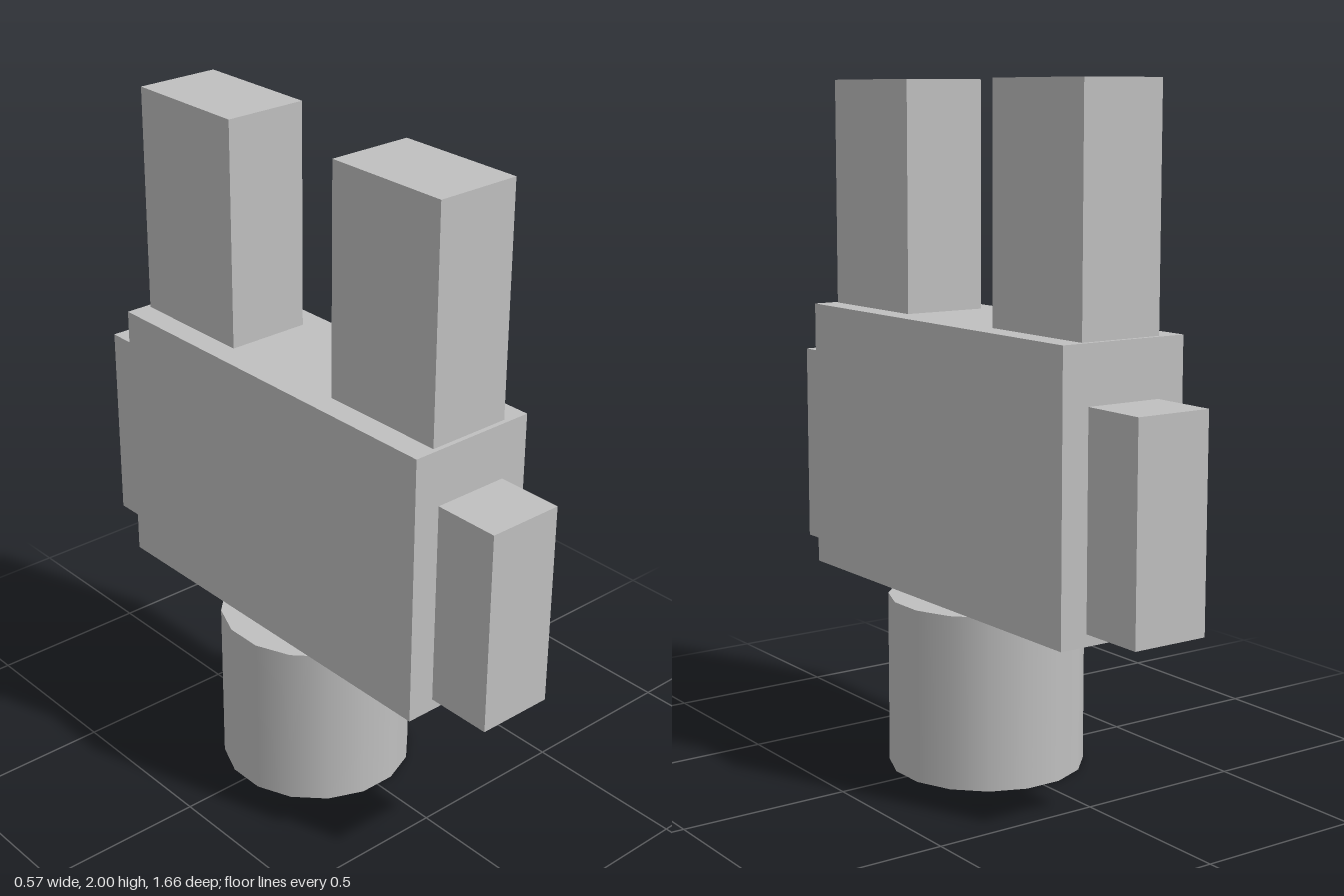
import * as THREE from 'three';

export function createModel() {
  const model = new THREE.Group();
  const grey = new THREE.MeshStandardMaterial({ color: 0xc0c0c0 });
  grey.name = 'light grey';

  const add = (name, geometry, x, y, z) => {
    const mesh = new THREE.Mesh(geometry, grey);
    mesh.name = name;
    mesh.position.set(x, y, z);
    model.add(mesh);
  };

  // Round foot, turned half a step so flat sides face the axes
  add('base', new THREE.CylinderGeometry(0.289, 0.289, 0.51, 16, 1, false, Math.PI / 16), 0, 0.255, 0);

  // Main slab
  add('body', new THREE.BoxGeometry(0.406, 0.812, 1.254), 0, 0.916, 0);

  // Matching upright posts and end blocks at front and back
  for (const [side, s] of [['front', 1], ['back', -1]]) {
    add(side + 'Post', new THREE.BoxGeometry(0.26, 0.678, 0.4), 0, 1.661, s * 0.413);
    add(side + 'EndBlock', new THREE.BoxGeometry(0.236, 0.61, 0.203), 0, 0.85, s * 0.7285);
  }

  return model;
}
